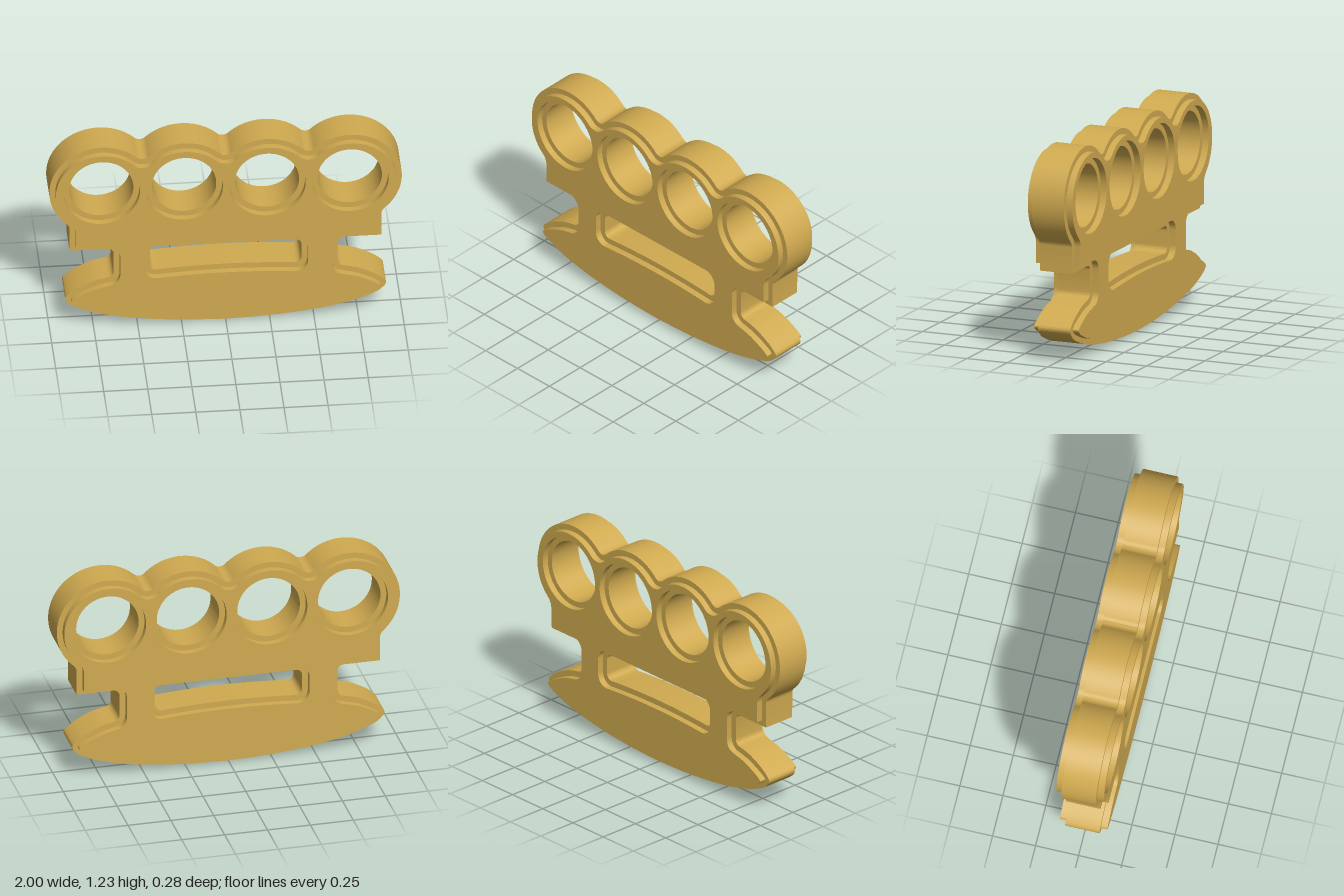
import * as THREE from 'three';
import { toCreasedNormals } from 'three/addons/utils/BufferGeometryUtils.js';

const PI = Math.PI;
const RING_X = [-0.705, -0.235, 0.235, 0.705];
const STEP = 0.034; // inset of the raised plates

// Lower wing curve from the neck to the bottom centre
const WING_CORE = [[0.75, 0.307], [0.84, 0.263], [0.895, 0.222], [0.91, 0.195], [0.892, 0.164],
  [0.84, 0.128], [0.7, 0.077], [0.5, 0.036], [0.25, 0.01], [0, 0]];
const WING_PLATE = [[0.74, 0.274], [0.82, 0.238], [0.865, 0.211], [0.878, 0.195], [0.862, 0.176],
  [0.82, 0.153], [0.7, 0.11], [0.5, 0.07], [0.25, 0.044], [0, 0.035]];

// Silhouette with ring and grip openings, drawn inwards by d
function createProfile(d, wing) {
  const R = 0.295, cy = 0.93, half = 0.235, f = 0.045, g = 0.05, n = 0.035;
  const a = Math.acos(half / (R + f));
  const fy = cy + Math.sqrt((R + f) ** 2 - half ** 2);
  const gx = 0.885 + g, dx = gx - 0.705;
  const dy = Math.sqrt((R + g) ** 2 - dx ** 2);
  const b = Math.atan2(dy, dx);

  // Right half, clockwise from the top notch
  const p = new THREE.Path();
  p.absarc(0, fy, f + d, -PI / 2, -a, false);
  p.absarc(0.235, cy, R - d, PI - a, a, true);
  p.absarc(0.47, fy, f + d, PI + a, 2 * PI - a, false);
  p.absarc(0.705, cy, R - d, PI - a, -b, true);
  p.absarc(gx, cy - dy, g + d, PI - b, PI, false);
  p.lineTo(0.885 - d, 0.525 + d);
  p.absarc(0.67, 0.49, n + d, PI / 2, PI, false);
  p.absarc(0.67, 0.363, n + d, PI, 1.44 * PI, false);
  p.splineThru(wing.map(([x, y]) => new THREE.Vector2(x, y)));

  // Mirror to the other side
  const right = p.getPoints(24);
  const left = right.slice(1, -1).reverse().map(v => new THREE.Vector2(-v.x, v.y));
  const shape = new THREE.Shape([...right, ...left]);

  // Finger holes
  for (const x of RING_X) {
    const hole = new THREE.Path();
    hole.absarc(x, 0.942, 0.182 + d, 0, 2 * PI, false);
    shape.holes.push(new THREE.Path(hole.getPoints(64).slice(0, -1)));
  }

  // Grip slot with a bowed lower edge
  const slot = new THREE.Path();
  const r = n + d, sx = 0.395;
  slot.absarc(sx, 0.49, r, 0, PI / 2, false);
  slot.absarc(-sx, 0.49, r, PI / 2, PI, false);
  slot.absarc(-sx, 0.4, r, PI, 1.5 * PI, false);
  slot.quadraticCurveTo(0, 0.397 - d, sx, 0.4 - r);
  slot.absarc(sx, 0.4, r, -PI / 2, 0, false);
  slot.closePath();
  shape.holes.push(slot);
  return shape;
}

function createSlab(name, shape, z, depth, material) {
  const geometry = new THREE.ExtrudeGeometry(shape, { depth, bevelEnabled: false, curveSegments: 16 });
  geometry.translate(0, 0, z);
  const mesh = new THREE.Mesh(toCreasedNormals(geometry, 0.6), material);
  mesh.name = name;
  return mesh;
}

export function createModel() {
  const brass = new THREE.MeshStandardMaterial({ color: 0xd0aa50 });
  brass.name = 'brass';

  const group = new THREE.Group();
  group.name = 'fourRingGrip';
  const plate = createProfile(STEP, WING_PLATE);
  group.add(
    createSlab('core', createProfile(0, WING_CORE), -0.1, 0.2, brass),
    createSlab('frontRaisedPlate', plate, 0.1, 0.038, brass),
    createSlab('backRaisedPlate', plate, -0.138, 0.038, brass),
  );
  return group;
}
